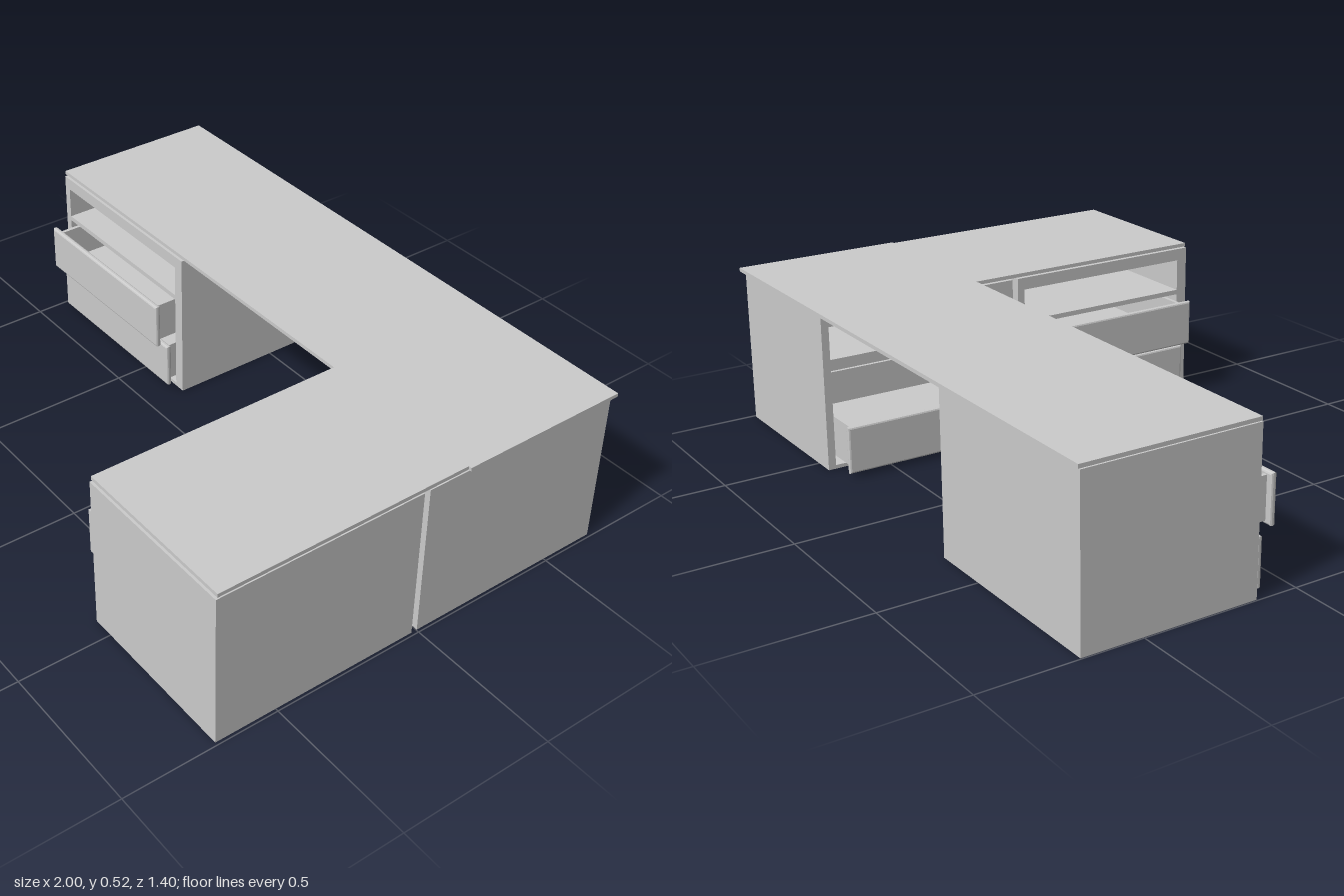
import * as THREE from 'three';

const material = new THREE.MeshStandardMaterial({ color: 0xcccccc, flatShading: true });

// Box given by its minimum and maximum corners
function box(parent, name, [x0, y0, z0], [x1, y1, z1]) {
  const mesh = new THREE.Mesh(new THREE.BoxGeometry(x1 - x0, y1 - y0, z1 - z0), material);
  mesh.position.set((x0 + x1) / 2, (y0 + y1) / 2, (z0 + z1) / 2);
  mesh.name = name;
  parent.add(mesh);
}

// Cabinet size; its front lies on local z = 0 and its left edge on local x = 0
const W = 0.682, H = 0.506, D = 0.56;
const OPEN_L = 0.025, OPEN_R = 0.645;

// Front panel with bevelled edges
function frontPanel(w, h, depth) {
  const b = 0.006;
  const s = new THREE.Shape();
  s.moveTo(b, b);
  s.lineTo(w - b, b);
  s.lineTo(w - b, h - b);
  s.lineTo(b, h - b);
  s.closePath();
  const g = new THREE.ExtrudeGeometry(s, {
    depth: depth - 2 * b, bevelEnabled: true, bevelSize: b, bevelThickness: b, bevelSegments: 2,
  });
  return g.translate(0, 0, b);
}

// Open-topped drawer, pulled forward by "out"
function drawer(y, out) {
  const g = new THREE.Group();
  g.name = 'drawer';
  const w = 0.618, h = 0.152, t = 0.012, thick = 0.018;
  const front = new THREE.Mesh(frontPanel(w, h, thick), material);
  front.position.z = -thick;
  front.name = 'drawerFront';
  g.add(front);
  const l = 0.02, r = w - 0.02, b = 0.01, top = h - 0.01, back = -0.53;
  box(g, 'drawerFloor', [l, b, back], [r, b + 0.02, -thick]);
  box(g, 'drawerLeftSide', [l, b + 0.02, back], [l + t, top, -thick]);
  box(g, 'drawerRightSide', [r - t, b + 0.02, back], [r, top, -thick]);
  box(g, 'drawerBack', [l + t, b + 0.02, back], [r - t, top, back + t]);
  g.position.set(OPEN_L + 0.001, y, out);
  return g;
}

// Hollow cabinet: open shelf above a drawer bay
function cabinet(name, drawers) {
  const g = new THREE.Group();
  g.name = name;
  box(g, 'leftWall', [0, 0, -D], [OPEN_L, H, 0]);
  box(g, 'rightWall', [OPEN_R, 0, -D], [W, H, 0]);
  box(g, 'backWall', [OPEN_L, 0, -D], [OPEN_R, H, -D + 0.02]);
  for (const [part, y0, y1] of [['base', 0, 0.012], ['shelf', 0.344, 0.36], ['cabinetTop', 0.466, H]]) {
    box(g, part, [OPEN_L, y0, -D + 0.02], [OPEN_R, y1, 0]);
  }
  for (const [y, out] of drawers) g.add(drawer(y, out));
  return g;
}

export function createModel() {
  const model = new THREE.Group();
  model.name = 'cornerDesk';
  const LOW = 0.015, MID = 0.187;

  // Thin L-shaped worktop
  box(model, 'mainTop', [-1, 0.511, -0.7], [1, 0.523, -0.137]);
  box(model, 'returnTop', [0.43, 0.511, -0.137], [0.99, 0.523, 0.695]);

  // Cabinet facing the front
  const side = cabinet('sideCabinet', [[LOW, 0.035], [MID, 0.076]]);
  side.position.set(-0.996, 0, -0.132);
  model.add(side);

  // Two cabinets facing -x under the return
  const corner = cabinet('cornerCabinet', [[LOW, 0.1]]);
  const end = cabinet('returnCabinet', [[LOW, 0.035], [MID, 0.08]]);
  for (const [c, z] of [[corner, -0.684], [end, 0.018]]) {
    c.rotation.y = -Math.PI / 2;
    c.position.set(0.43, 0, z);
    model.add(c);
  }
  return model;
}
